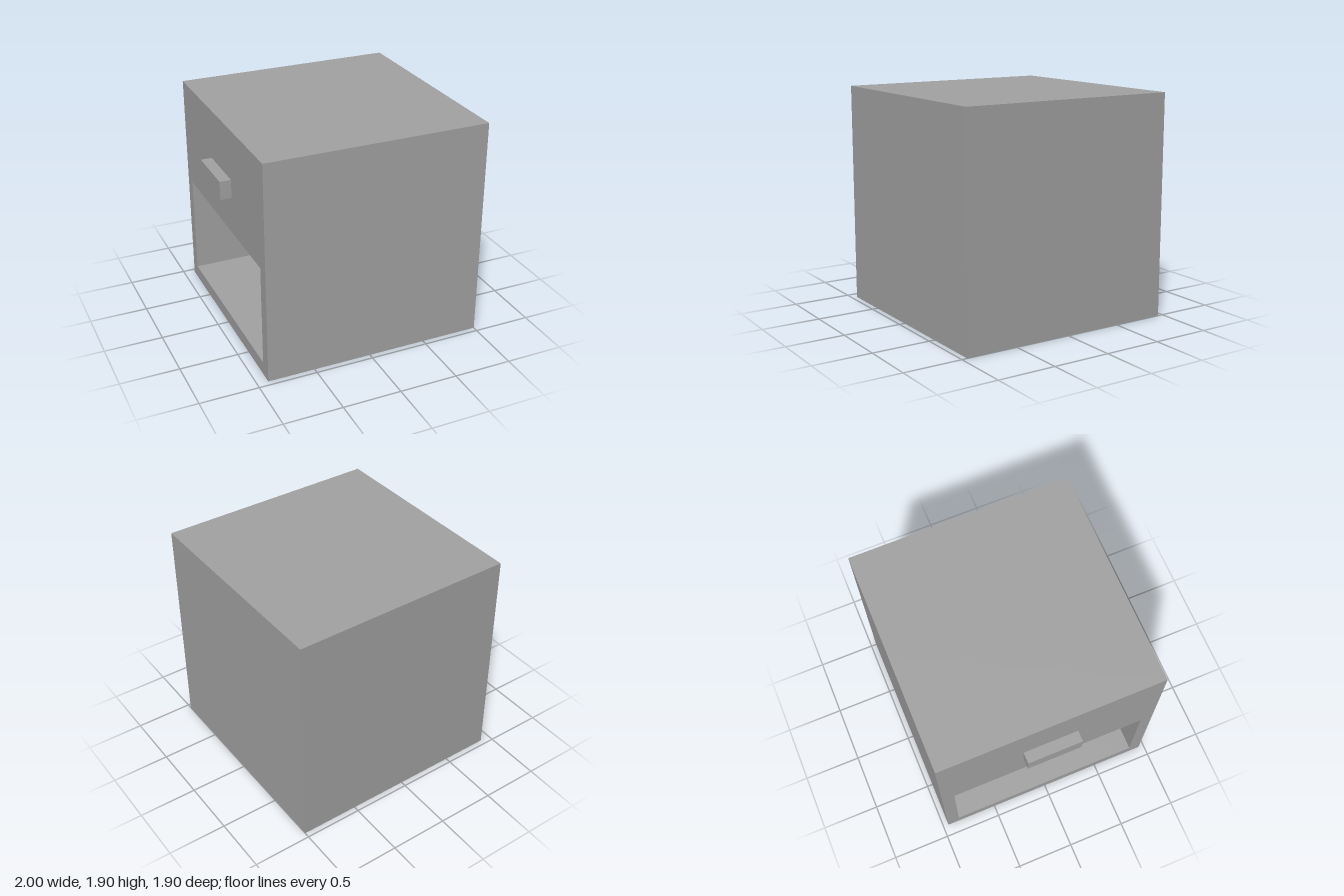
import * as THREE from 'three';

const SIZE = 1.905;            // cube edge
const X0 = -0.905;             // open face of the cabinet
const DEPTH = 1.0;             // depth of the open shelf

const rect = (Type, w, y0, y1) => {
  const p = new Type();
  p.moveTo(-w / 2, y0);
  p.lineTo(w / 2, y0);
  p.lineTo(w / 2, y1);
  p.lineTo(-w / 2, y1);
  p.closePath();
  return p;
};

export function createModel() {
  const group = new THREE.Group();
  group.name = 'nightstand';
  const grey = new THREE.MeshStandardMaterial({ color: 0xa3a3a3 });
  grey.name = 'grey';

  const add = (name, geometry, x = 0, y = 0, z = 0) => {
    const mesh = new THREE.Mesh(geometry, grey);
    mesh.name = name;
    mesh.position.set(x, y, z);
    group.add(mesh);
  };

  // Cabinet half with the open shelf, extruded along x
  const face = rect(THREE.Shape, SIZE, 0, SIZE);
  face.holes.push(rect(THREE.Path, 1.69, 0.115, 0.985));
  const shell = new THREE.ExtrudeGeometry(face, { depth: DEPTH, bevelEnabled: false });
  shell.rotateY(Math.PI / 2);
  add('shelfBody', shell, X0);

  // Closed half, which also forms the back of the shelf
  const rest = SIZE - DEPTH;
  add('closedBody', new THREE.BoxGeometry(rest, SIZE, SIZE), X0 + DEPTH + rest / 2, SIZE / 2);

  // Drawer handle
  add('handle', new THREE.BoxGeometry(0.095, 0.16, 0.47), -0.9525, 1.39);

  return group;
}
